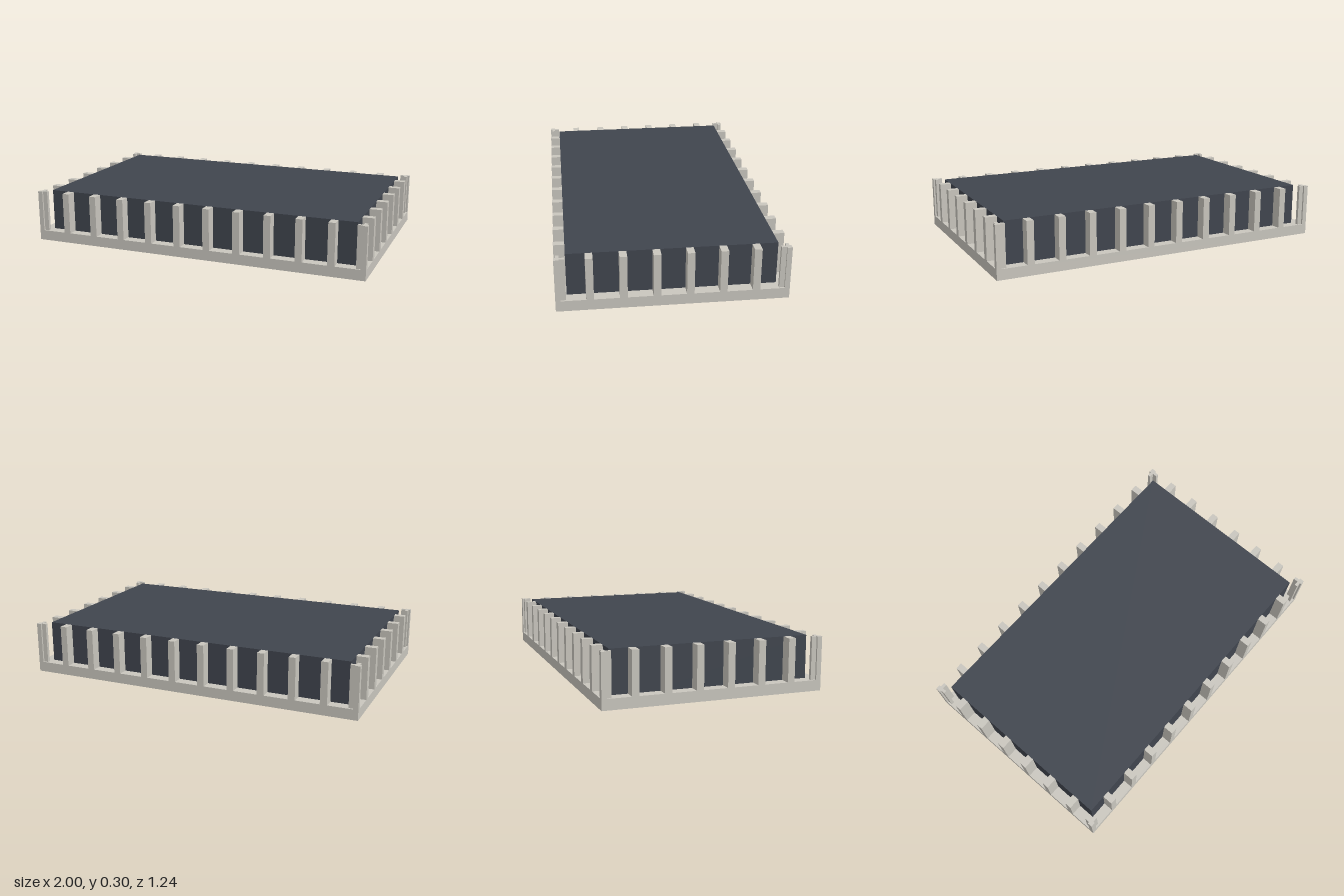
import * as THREE from 'three';

export function createModel() {
  const model = new THREE.Group();
  const stone = new THREE.MeshStandardMaterial({ color: 0xc9c6be });
  stone.name = 'pale stone';
  const glass = new THREE.MeshStandardMaterial({ color: 0x40454e });
  glass.name = 'dark glass';

  const X = 1, Z = 0.62;            // outer half sizes
  const IX = 0.935, IZ = 0.56;      // core half sizes
  const H = 0.3, BASE = 0.06;       // full height, plinth height

  // Box given by its minimum and maximum corners
  function box(name, material, x0, x1, y0, y1, z0, z1, parent = model) {
    const mesh = new THREE.Mesh(new THREE.BoxGeometry(x1 - x0, y1 - y0, z1 - z0), material);
    mesh.position.set((x0 + x1) / 2, (y0 + y1) / 2, (z0 + z1) / 2);
    mesh.name = name;
    parent.add(mesh);
  }

  // Glazed core
  box('glassCore', glass, -IX, IX, 0, H, -IZ, IZ);

  // Plinth ring around the core
  const ring = new THREE.Shape([[-X, -Z], [X, -Z], [X, Z], [-X, Z]].map(p => new THREE.Vector2(...p)));
  ring.holes.push(new THREE.Path([[-IX, -IZ], [-IX, IZ], [IX, IZ], [IX, -IZ]].map(p => new THREE.Vector2(...p))));
  const plinth = new THREE.Mesh(
    new THREE.ExtrudeGeometry(ring, { depth: BASE, bevelEnabled: false }).rotateX(-Math.PI / 2), stone);
  plinth.name = 'plinth';
  model.add(plinth);

  // Pillars along the four sides
  const pillars = new THREE.Group();
  pillars.name = 'pillars';
  model.add(pillars);
  const w = 0.02;
  for (const s of [-1, 1]) {
    for (let i = 0; i < 10; i++) {
      const x = (i - 4.5) * 0.18, z = s * (Z + IZ) / 2, d = (Z - IZ) / 2;
      box(s > 0 ? 'frontPillar' : 'backPillar', stone, x - w, x + w, BASE, H, z - d, z + d, pillars);
    }
    for (let i = 0; i < 6; i++) {
      const z = (i - 2.5) * 0.176, x = s * (X + IX) / 2, d = (X - IX) / 2;
      box(s > 0 ? 'leftPillar' : 'rightPillar', stone, x - d, x + d, BASE, H, z - w, z + w, pillars);
    }
  }

  // Corner posts: a square shaft with two slightly recessed arms
  const shaft = 0.028, inset = 0.01, arm = 0.056;
  const outline = [[0, 0], [shaft, 0], [shaft, inset], [arm, inset], [arm, shaft],
    [shaft, shaft], [shaft, arm], [inset, arm], [inset, shaft], [0, shaft]];
  for (const sx of [-1, 1]) for (const sz of [-1, 1]) {
    const shape = new THREE.Shape(outline.map(([a, b]) => new THREE.Vector2(sx * (X - a), -sz * (Z - b))));
    const post = new THREE.Mesh(
      new THREE.ExtrudeGeometry(shape, { depth: H - BASE, bevelEnabled: false }).rotateX(-Math.PI / 2), stone);
    post.position.y = BASE;
    post.name = 'cornerPost';
    model.add(post);
  }
  return model;
}
